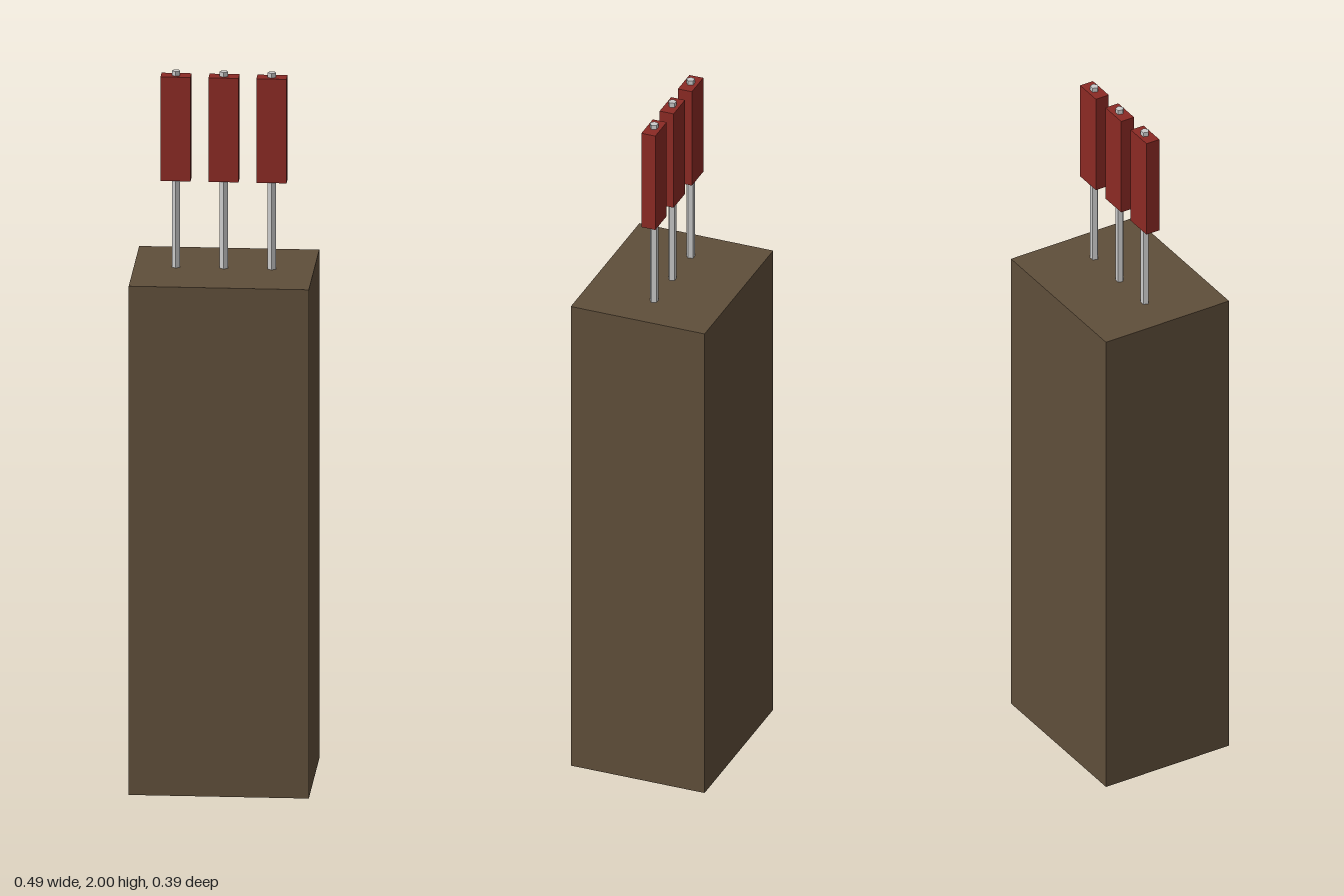
import * as THREE from 'three';

const material = (color) => new THREE.MeshStandardMaterial({ color, flatShading: true });

export function createModel() {
  const model = new THREE.Group();
  model.name = 'blockWithRods';
  const brown = material(0x5f4e3a);
  const red = material(0x8b2a24);
  const grey = material(0xcccccc);

  // Adds a mesh spanning the heights bottom to top
  const add = (parent, name, geometry, mat, bottom, top) => {
    const mesh = new THREE.Mesh(geometry, mat);
    mesh.name = name;
    mesh.position.y = (bottom + top) / 2;
    parent.add(mesh);
  };

  // Tall solid body
  add(model, 'body', new THREE.BoxGeometry(0.492, 1.443, 0.394), brown, 0, 1.443);

  // Three five-sided rods, each carrying a flat red grip
  const rodGeometry = new THREE.CylinderGeometry(0.012, 0.012, 0.557, 5);
  const gripGeometry = new THREE.BoxGeometry(0.082, 0.295, 0.041);
  for (const x of [-0.131, 0, 0.131]) {
    const stick = new THREE.Group();
    stick.name = 'stick';
    stick.position.set(x, 0, -0.001);
    add(stick, 'rod', rodGeometry, grey, 1.443, 2);
    add(stick, 'grip', gripGeometry, red, 1.692, 1.987);
    model.add(stick);
  }
  return model;
}
